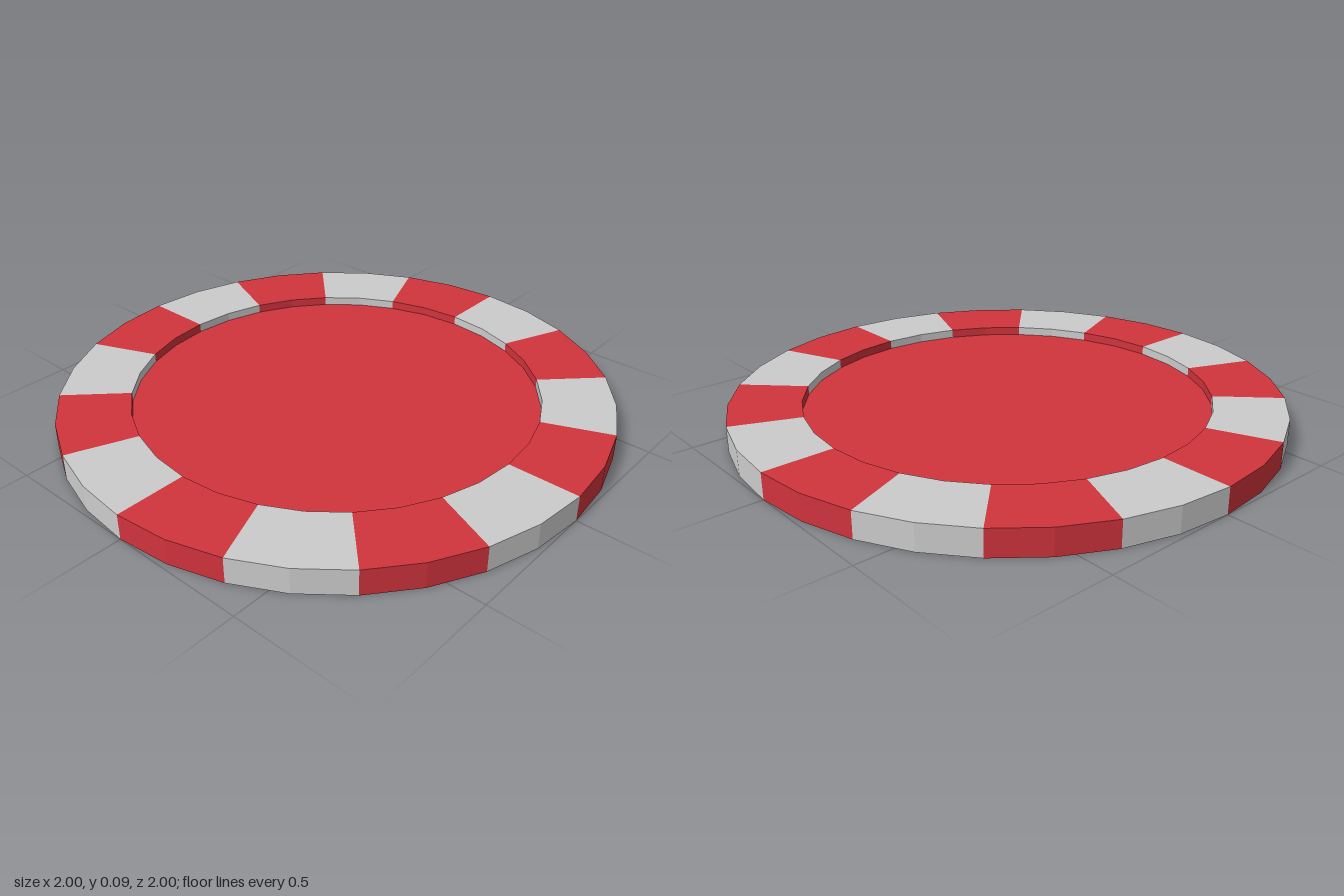
import * as THREE from 'three';

const SIDES = 32, BLOCKS = 16;
const OUTER = 1, INNER = 0.74, HEIGHT = 0.095, FLOOR = 0.063;

const red = new THREE.MeshStandardMaterial({ color: 0xd0333c, flatShading: true });
const grey = new THREE.MeshStandardMaterial({ color: 0xcccccc, flatShading: true });

// Flat disc lying at height y, facing up or down
function disc(name, radius, y, facing) {
  const geometry = new THREE.CircleGeometry(radius, SIDES);
  geometry.rotateX(-facing * Math.PI / 2);
  const mesh = new THREE.Mesh(geometry, red);
  mesh.position.y = y;
  mesh.name = name;
  return mesh;
}

// One block of the raised rim: outer wall, top and inner step
function rimBlock(index) {
  const profile = [
    new THREE.Vector2(OUTER, 0),
    new THREE.Vector2(OUTER, HEIGHT),
    new THREE.Vector2(INNER, HEIGHT),
    new THREE.Vector2(INNER, FLOOR),
  ];
  const arc = Math.PI * 2 / BLOCKS;
  const geometry = new THREE.LatheGeometry(profile, SIDES / BLOCKS, index * arc, arc).toNonIndexed();
  geometry.computeVertexNormals();
  const isGrey = index % 2 === 1;
  const mesh = new THREE.Mesh(geometry, isGrey ? grey : red);
  mesh.name = isGrey ? 'greyRimBlock' : 'redRimBlock';
  return mesh;
}

export function createModel() {
  const chip = new THREE.Group();
  chip.name = 'chip';

  // Underside and recessed face
  chip.add(disc('underside', OUTER, 0, -1));
  chip.add(disc('recessedFace', INNER, FLOOR, 1));

  // Rim of alternating blocks
  const rim = new THREE.Group();
  rim.name = 'rim';
  for (let i = 0; i < BLOCKS; i++) rim.add(rimBlock(i));
  chip.add(rim);

  return chip;
}
